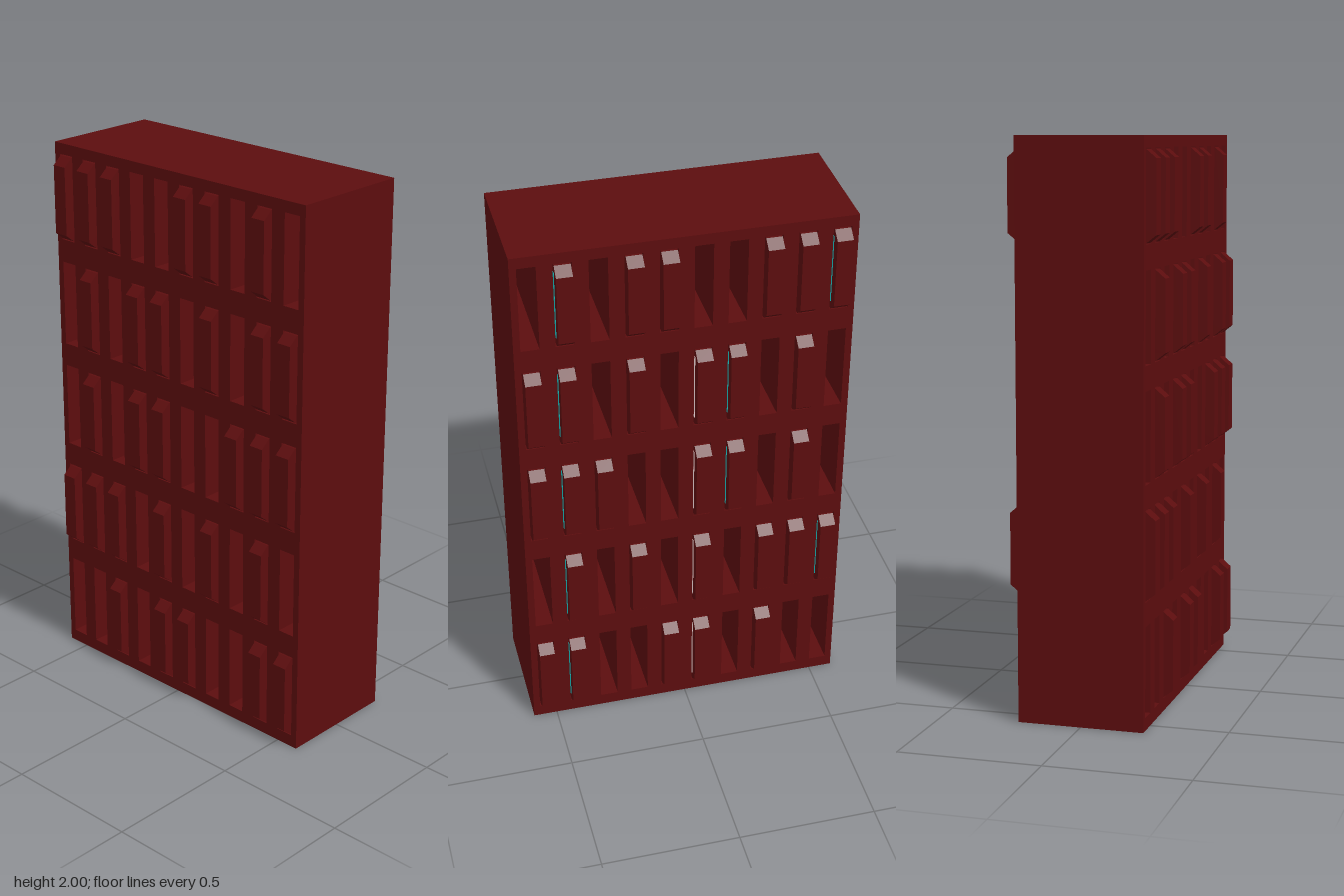
import * as THREE from 'three';

const W = 1.174, H = 2, D = 0.446;
const PITCH = 0.118, SLOT_W = 0.064, SLOT_H = 0.315, BLADE_W = 0.056;

// Occupied slots, top row first, left to right
const LAYOUT = [
  '1110011010',
  '0101101011',
  '0101100111',
  '1110101010',
  '0010110011',
];

const material = (name, color, extra = {}) => {
  const m = new THREE.MeshStandardMaterial({ color, ...extra });
  m.name = name;
  return m;
};

// Closed polygon in (x, y) from corner pairs
const polygon = (points) => new THREE.Shape(points.map(([x, y]) => new THREE.Vector2(x, y)));

const rectangle = (x0, y0, x1, y1) => [[x0, y0], [x1, y0], [x1, y1], [x0, y1]];

export function createModel() {
  const group = new THREE.Group();
  const red = material('darkRed', 0x5c0d0e);
  const cyan = material('cyanLight', 0x18b4b4);
  const pale = material('paleLight', 0xe6cfcf);

  const add = (name, geometry, mat, x = 0, y = 0, z = 0) => {
    const mesh = new THREE.Mesh(geometry, mat);
    mesh.name = name;
    mesh.position.set(x, y, z);
    group.add(mesh);
  };

  const columnX = (c) => (c - 4.5) * PITCH;
  const rowY = (r) => 1.645 - r * 0.4;

  // Rack body with slots running right through
  const body = polygon(rectangle(-W / 2, 0, W / 2, H));
  for (let r = 0; r < 5; r++) {
    for (let c = 0; c < 10; c++) {
      const x = columnX(c), y = rowY(r);
      const hole = rectangle(x - SLOT_W / 2, y, x + SLOT_W / 2, y + SLOT_H).reverse();
      body.holes.push(new THREE.Path(hole.map(([a, b]) => new THREE.Vector2(a, b))));
    }
  }
  const rack = new THREE.ExtrudeGeometry(body, { depth: D, bevelEnabled: false });
  rack.translate(0, 0, -D / 2);
  add('rack', rack, red);

  // Blade: chamfered side profile, extruded across its width
  const zi = D / 2, zo = 0.257;
  const profile = polygon([
    [-zi, 0.004], [zi, 0.004], [zo, 0.031], [zo, 0.281],
    [zi, 0.31], [-zi, 0.31], [-zo, 0.281], [-zo, 0.031],
  ]);
  const blade = new THREE.ExtrudeGeometry(profile, { depth: BLADE_W, bevelEnabled: false });
  blade.translate(0, 0, -BLADE_W / 2);
  blade.rotateY(-Math.PI / 2);

  // Thin light strip beside some blades, just inside the back opening
  const strip = new THREE.BoxGeometry(0.002, 0.25, 0.014);
  const stripColours = { 0: cyan, 3: cyan, 4: pale, 8: cyan };

  LAYOUT.forEach((row, r) => [...row].forEach((filled, c) => {
    if (filled !== '1') return;
    add('blade', blade, red, columnX(c), rowY(r));
    if (stripColours[c]) {
      add('lightStrip', strip, stripColours[c],
        columnX(c) + BLADE_W / 2 + 0.001, rowY(r) + SLOT_H / 2, -zi + 0.008);
    }
  }));

  return group;
}
